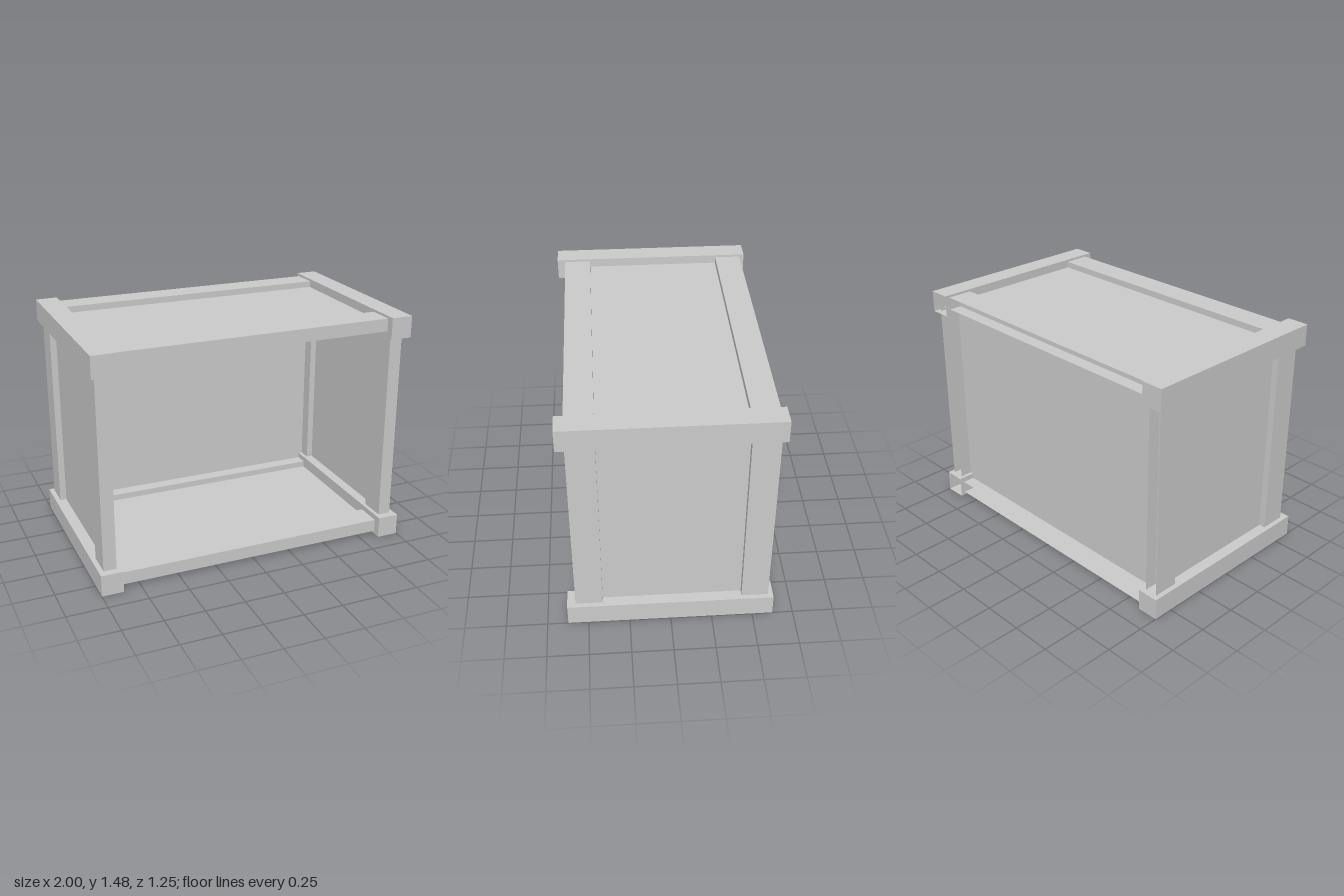
import * as THREE from 'three';

const material = new THREE.MeshStandardMaterial({ color: 0xcccccc, side: THREE.DoubleSide });
const FACES = ['px', 'nx', 'py', 'ny', 'pz', 'nz'];

// Box given by [min, max] ranges, leaving out the faces listed in open.
function bar(group, name, [x0, x1], [y0, y1], [z0, z1], open = []) {
  const geo = new THREE.BoxGeometry(x1 - x0, y1 - y0, z1 - z0);
  const index = Array.from(geo.index.array);
  geo.setIndex(index.filter((_, i) => !open.includes(FACES[Math.floor(i / 6)])));
  geo.clearGroups();
  geo.translate((x0 + x1) / 2, (y0 + y1) / 2, (z0 + z1) / 2);
  const mesh = new THREE.Mesh(geo, material);
  mesh.name = name;
  group.add(mesh);
}

// Thin sheet, turned by rx / ry.
function panel(group, name, w, h, pos, rx = 0, ry = 0) {
  const mesh = new THREE.Mesh(new THREE.PlaneGeometry(w, h), material);
  mesh.name = name;
  mesh.rotation.set(rx, ry, 0);
  mesh.position.set(...pos);
  group.add(mesh);
}

export function createModel() {
  const model = new THREE.Group();
  model.name = 'crate';

  const FRONT = [0.41, 0.575], BACK = [-0.595, -0.432];
  const levels = [['bottom', [0, 0.135], [0.02, 0.1]], ['top', [1.34, 1.475], [1.38, 1.46]]];
  const sides = [['left', [0.865, 1], [0.89, 0.97]], ['right', [-1, -0.865], [-0.97, -0.89]]];
  const ends = [['Front', FRONT, []], ['Back', BACK, ['nz']]];

  for (const [level, thickY, railY] of levels) {
    // Thick corner beams running front to back; the left pair is open at the rear
    for (const [side, thickX] of sides) {
      bar(model, `${level}${side === 'left' ? 'Left' : 'Right'}Beam`, thickX, thickY,
        [-0.625, 0.625], side === 'left' ? ['nz'] : []);
    }
    // Rails across the width; the back ones are open channels
    for (const [end, z, open] of ends) {
      bar(model, `${level}${end}Rail`, [-0.93, 0.93], railY, z, ['px', 'nx', ...open]);
    }
  }

  // Upright posts; the back ones are open channels
  for (const [side, , postX] of sides) {
    for (const [end, z, open] of ends) {
      bar(model, `${side}${end}Post`, postX, [0.07, 1.41], z, ['py', 'ny', ...open]);
    }
  }

  // Panels set into the middle of the frame, front left open
  const yLow = 0.06, yHigh = 1.42, zBack = -0.515, zFront = 0.49, xSide = 0.93;
  const h = yHigh - yLow, d = zFront - zBack, yMid = (yLow + yHigh) / 2, zMid = (zFront + zBack) / 2;
  panel(model, 'bottomPanel', 2 * xSide, d, [0, yLow, zMid], -Math.PI / 2);
  panel(model, 'topPanel', 2 * xSide, d, [0, yHigh, zMid], -Math.PI / 2);
  panel(model, 'leftPanel', d, h, [xSide, yMid, zMid], 0, Math.PI / 2);
  panel(model, 'rightPanel', d, h, [-xSide, yMid, zMid], 0, -Math.PI / 2);
  panel(model, 'backPanel', 2 * xSide, h, [0, yMid, zBack], 0, Math.PI);

  return model;
}
